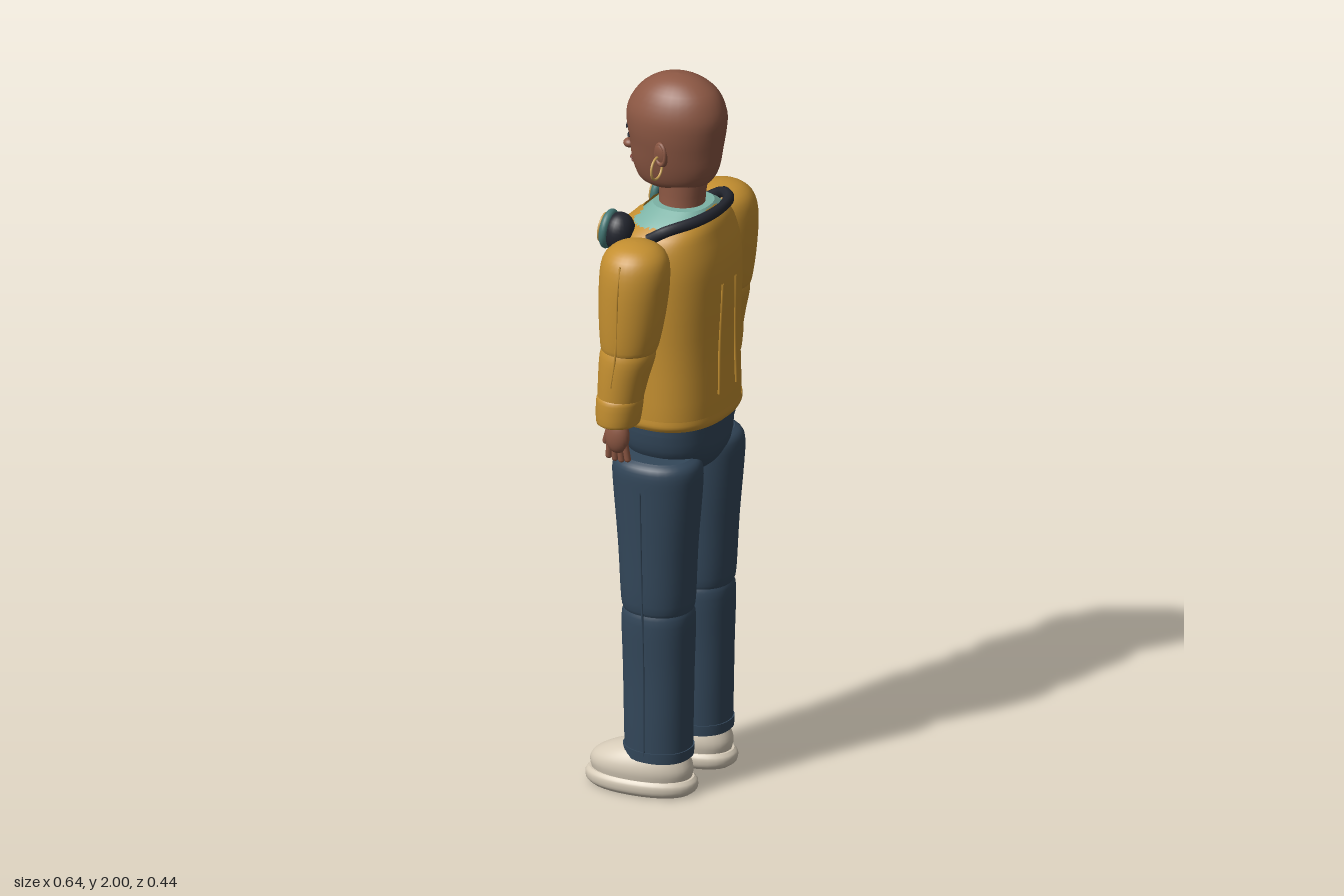
import * as THREE from 'three';

const mat = (name, color, side = THREE.FrontSide) => {
  const m = new THREE.MeshStandardMaterial({ color, side });
  m.name = name;
  return m;
};

// Cross-sections: rows of [y, rx, rz, cx, cz] listed from bottom to top
function sampler(rows) {
  const a = new THREE.CatmullRomCurve3(rows.map(r => new THREE.Vector3(r[1], r[0], r[2])), false, 'catmullrom');
  const b = new THREE.CatmullRomCurve3(rows.map(r => new THREE.Vector3(r[3] || 0, 0, r[4] || 0)), false, 'catmullrom');
  return t => {
    const p = a.getPoint(t), q = b.getPoint(t);
    return { y: p.y, rx: Math.max(p.x, 0.0005), rz: Math.max(p.z, 0.0005), cx: q.x, cz: q.z };
  };
}

// Skin over the cross-sections; gap leaves the front open
function loft(rows, { n = 2, sides = 32, gap = 0, side = 1 } = {}) {
  const at = sampler(rows), steps = (rows.length - 1) * 3;
  const pos = [], idx = [], cols = gap ? sides + 1 : sides;
  const pw = v => Math.sign(v) * Math.abs(v) ** (2 / n);
  const ring = s => {
    for (let j = 0; j < cols; j++) {
      const f = gap + (j / sides) * (Math.PI * 2 - 2 * gap);
      pos.push(s.cx * side + s.rx * pw(Math.sin(f)), s.y, s.cz + s.rz * pw(Math.cos(f)));
    }
  };
  for (let i = 0; i <= steps; i++) ring(at(i / steps));
  for (let i = 0; i < steps; i++) for (let j = 0; j < sides; j++) {
    const k = (j + 1) % cols, a = i * cols + j, b = i * cols + k;
    idx.push(a, b, b + cols, a, b + cols, a + cols);
  }
  if (!gap) for (const t of [0, 1]) {
    const s = at(t), base = pos.length / 3;
    ring(s);
    pos.push(s.cx * side, s.y, s.cz);
    for (let j = 0; j < sides; j++) {
      const a = base + j, b = base + (j + 1) % sides;
      t ? idx.push(a, b, base + sides) : idx.push(b, a, base + sides);
    }
  }
  const g = new THREE.BufferGeometry();
  g.setAttribute('position', new THREE.Float32BufferAttribute(pos, 3));
  g.setIndex(idx);
  g.computeVertexNormals();
  return g;
}

const TORSO = [[1.05, 0.178, 0.14], [1.08, 0.184, 0.147], [1.25, 0.18, 0.145], [1.4, 0.185, 0.15], [1.5, 0.185, 0.147],
  [1.57, 0.172, 0.13], [1.605, 0.135, 0.108, 0, -0.01], [1.635, 0.085, 0.08, 0, -0.015]];
const torsoAt = sampler(TORSO);

// Depth of the jacket surface at a given x and y
function torsoZ(x, y) {
  let lo = 0, hi = 1;
  for (let i = 0; i < 24; i++) {
    const m = (lo + hi) / 2;
    if (torsoAt(m).y < y) lo = m; else hi = m;
  }
  const s = torsoAt(lo), u = Math.min(Math.abs(x) / s.rx, 0.995);
  return [s.cz, s.rz * (1 - u ** 2.4) ** (1 / 2.4)];
}

// Thin plate that follows the chest, between x limits given per height
function plate(y0, y1, left, right, off) {
  const g = new THREE.PlaneGeometry(1, 1, 10, 12), p = g.attributes.position;
  for (let i = 0; i < p.count; i++) {
    const v = p.getY(i) + 0.5, u = p.getX(i) + 0.5, y = y0 + v * (y1 - y0);
    const x = THREE.MathUtils.lerp(left(v), right(v), u), [cz, z] = torsoZ(x, y);
    p.setXYZ(i, x, y, cz + z + off);
  }
  g.computeVertexNormals();
  return g;
}

const tube = (pts, r, seg = 24) => new THREE.TubeGeometry(
  new THREE.CatmullRomCurve3(pts.map(p => new THREE.Vector3(...p))), seg, r, 8);

export function createModel() {
  const skin = mat('skin', 0x8d5844), mustard = mat('jacketMustard', 0xc48f30, THREE.DoubleSide);
  const denim = mat('denim', 0x33475a), dark = mat('darkNavy', 0x23262f, THREE.DoubleSide);
  const shirtTeal = mat('shirtTeal', 0x7db3a6), cupTeal = mat('cupTeal', 0x457876);
  const cream = mat('shoeCream', 0xd6cbb8), gold = mat('gold', 0xcba256);
  const lipMat = mat('lips', 0x7a4038), seamMat = mat('seam', 0x8f6722);

  const body = new THREE.Group();
  body.name = 'figure';
  const add = (name, geo, m, pos = [0, 0, 0], scale = [1, 1, 1], rot = [0, 0, 0], parent = body) => {
    const o = new THREE.Mesh(geo, m);
    o.name = name;
    o.position.set(...pos);
    o.scale.set(...scale);
    o.rotation.set(...rot);
    parent.add(o);
    return o;
  };
  const ball = new THREE.SphereGeometry(1, 24, 16);

  // Head and neck
  add('head', loft([[1.68, 0.035, 0.05, 0, 0.025], [1.69, 0.056, 0.085, 0, 0.02], [1.71, 0.071, 0.108, 0, 0.012], [1.75, 0.085, 0.124, 0, 0.008],
    [1.8, 0.097, 0.13, 0, 0.006], [1.85, 0.106, 0.138, 0, 0.006], [1.9, 0.106, 0.138, 0, 0.004], [1.95, 0.088, 0.113, 0, 0],
    [1.98, 0.06, 0.076], [1.995, 0.03, 0.038], [2, 0.001, 0.001]]), skin);
  add('neck', loft([[1.58, 0.07, 0.07, 0, -0.01], [1.64, 0.059, 0.062, 0, -0.01], [1.73, 0.06, 0.07, 0, -0.015]]), skin);
  add('noseBridge', ball, skin, [0, 1.795, 0.138], [0.01, 0.032, 0.012], [-0.25, 0, 0]);
  add('noseTip', ball, skin, [0, 1.772, 0.146], [0.018, 0.013, 0.018]);
  add('upperLip', ball, lipMat, [0, 1.741, 0.128], [0.026, 0.006, 0.011]);
  add('lowerLip', ball, lipMat, [0, 1.731, 0.126], [0.022, 0.007, 0.011]);
  for (const s of [1, -1]) {
    add('eye', ball, dark, [s * 0.04, 1.815, 0.126], [0.017, 0.004, 0.005], [0, s * 0.35, -s * 0.12]);
    add('eyebrow', ball, dark, [s * 0.042, 1.843, 0.13], [0.02, 0.003, 0.004], [0, s * 0.35, -s * 0.12]);
    add('ear', ball, skin, [s * 0.107, 1.805, -0.005], [0.011, 0.035, 0.022], [0, -s * 0.35, -s * 0.2]);
    add('earRim', new THREE.TorusGeometry(0.022, 0.005, 8, 20), skin, [s * 0.114, 1.81, -0.007], [0.85, 1.3, 1], [0, s * 1.2, 0]);
    add('hoopEarring', new THREE.TorusGeometry(0.03, 0.0035, 8, 28), gold, [s * 0.122, 1.772, 0]);
  }

  // Shirt under an open jacket
  add('shirt', loft(TORSO.map(([y, a, b, c = 0, d = 0]) => [y + 0.005, a * 0.95, b * 0.95, c, d]), { n: 2.4, sides: 48 }), shirtTeal);
  add('jacketBody', loft(TORSO, { n: 2.4, sides: 56, gap: 0.25 }), mustard);
  add('jacketHem', loft([[1.047, 0.18, 0.143], [1.06, 0.187, 0.149], [1.078, 0.186, 0.149]], { n: 2.4, sides: 56, gap: 0.25 }), mustard);
  for (const s of [1, -1]) {
    const at = (a, b) => v => s * THREE.MathUtils.lerp(a, b, v);
    add('lapel', plate(1.46, 1.625, at(0.062, 0.022), at(0.066, 0.075), 0.009), mustard);
    add('collarWing', plate(1.53, 1.62, at(0.1, 0.03), at(0.105, 0.09), 0.012), mustard);
    add('openingEdge', plate(1.06, 1.5, at(0.052, 0.052), at(0.059, 0.059), 0.004), seamMat);
    add('pocket', plate(1.085, 1.235, at(0.068, 0.068), at(0.162, 0.162), 0.006), mustard);
    add('pocketFlap', plate(1.228, 1.25, at(0.066, 0.066), at(0.164, 0.164), 0.009), mustard);
    add('pocketSeam', plate(1.224, 1.228, at(0.066, 0.066), at(0.164, 0.164), 0.008), seamMat);
    const back = [1.13, 1.28, 1.44].map((y, i) => {
      const x = s * (0.047 - i * 0.006), [cz, z] = torsoZ(x, y);
      return [x, y, cz - z - 0.001];
    });
    add('backSeam', tube(back, 0.004), mustard);
  }
  add('frontCord', plate(1.11, 1.5, () => 0.138, () => 0.147, 0.008), dark);

  // Headphones resting round the neck
  add('headphoneBand', tube([[-0.168, 1.585, 0.0], [-0.155, 1.612, -0.045], [-0.09, 1.628, -0.1], [0, 1.632, -0.118],
    [0.09, 1.628, -0.1], [0.155, 1.612, -0.045], [0.168, 1.585, 0.0]], 0.015, 48), dark);
  for (const s of [1, -1]) {
    const cup = new THREE.Group();
    cup.name = 'headphoneCup';
    cup.position.set(s * 0.143, 1.58, 0.1);
    cup.rotation.set(-0.1, s * 0.05, 0);
    body.add(cup);
    const face = [Math.PI / 2, 0, 0];
    add('cushion', ball, dark, [0, 0, 0], [0.045, 0.054, 0.042], [0, 0, 0], cup);
    add('cupRing', new THREE.TorusGeometry(0.036, 0.012, 12, 32), cupTeal, [0, 0, 0.03], [1, 1.15, 1], [0, 0, 0], cup);
    add('cupPlate', new THREE.CylinderGeometry(0.036, 0.036, 0.02, 32), cupTeal, [0, 0, 0.033], [1, 1, 1.15], face, cup);
    add('cupTrim', new THREE.TorusGeometry(0.033, 0.0035, 8, 32), gold, [0, 0, 0.046], [1, 1.15, 1], [0, 0, 0], cup);
  }

  // Arms and hands
  for (const s of [1, -1]) {
    const o = { side: s };
    add('upperSleeve', loft([[1.305, 0.07, 0.07, 0.257, 0.01], [1.32, 0.077, 0.077, 0.256, 0.008], [1.4, 0.088, 0.088, 0.25, 0.004],
      [1.5, 0.094, 0.094, 0.243], [1.56, 0.087, 0.087, 0.238], [1.59, 0.062, 0.062, 0.236], [1.602, 0.03, 0.03, 0.235], [1.605, 0.001, 0.001, 0.235]], o), mustard);
    add('lowerSleeve', loft([[1.17, 0.062, 0.06, 0.273, 0.026], [1.23, 0.069, 0.067, 0.267, 0.02], [1.29, 0.075, 0.074, 0.259, 0.012], [1.32, 0.068, 0.068, 0.257, 0.01]], o), mustard);
    add('cuff', loft([[1.1, 0.057, 0.052, 0.277, 0.03], [1.11, 0.063, 0.058, 0.277, 0.03], [1.165, 0.066, 0.062, 0.274, 0.027], [1.18, 0.06, 0.058, 0.273, 0.026]], o), mustard);
    add('sleeveSeam', tube([[s * 0.335, 1.22, 0.022], [s * 0.333, 1.32, 0.008], [s * 0.337, 1.5, 0], [s * 0.323, 1.565, 0]], 0.003), mustard);
    add('palm', ball, skin, [s * 0.274, 1.06, 0.035], [0.024, 0.05, 0.035]);
    for (let i = 0; i < 4; i++) {
      add('finger', new THREE.CapsuleGeometry(0.009, 0.045, 4, 10), skin,
        [s * 0.27, 1.012 + Math.abs(i - 1.4) * 0.004, 0.01 + i * 0.017], [1, 1, 1], [(1.5 - i) * 0.08, 0, -s * 0.1]);
    }
    add('thumb', new THREE.CapsuleGeometry(0.01, 0.04, 4, 10), skin, [s * 0.262, 1.05, 0.07], [1, 1, 1], [-0.35, 0, -s * 0.2]);
  }

  // Trousers and belt
  add('hips', loft([[0.885, 0.04, 0.06], [0.91, 0.095, 0.1], [0.96, 0.148, 0.128], [1.02, 0.162, 0.132], [1.07, 0.164, 0.132]], { n: 2.3 }), denim);
  add('belt', loft([[1.025, 0.166, 0.136], [1.055, 0.167, 0.137]], { n: 2.3 }), denim);
  add('buckle', new THREE.BoxGeometry(0.042, 0.034, 0.012), gold, [0, 1.04, 0.138]);
  for (const s of [1, -1]) {
    const o = { side: s, n: 2.2 };
    add('thigh', loft([[0.515, 0.083, 0.09, 0.11], [0.55, 0.092, 0.098, 0.111], [0.7, 0.095, 0.106, 0.113], [0.86, 0.1, 0.12, 0.114],
      [0.92, 0.101, 0.122, 0.115], [0.945, 0.094, 0.113, 0.115], [0.957, 0.078, 0.095, 0.115]], o), denim);
    add('shin', loft([[0.1, 0.081, 0.09, 0.11], [0.2, 0.083, 0.092, 0.11], [0.35, 0.084, 0.095, 0.11], [0.49, 0.09, 0.098, 0.11], [0.525, 0.084, 0.09, 0.11]], o), denim);
    add('trouserHem', loft([[0.103, 0.084, 0.093, 0.11], [0.13, 0.085, 0.094, 0.11]], o), denim);
    add('sideSeam', tube([[s * 0.193, 0.12, 0], [s * 0.195, 0.35, 0], [s * 0.201, 0.52, 0], [s * 0.209, 0.7, 0], [s * 0.215, 0.88, 0]], 0.003), denim);

    // Shoe with a wide rounded sole
    const shoe = new THREE.Group();
    shoe.name = 'shoe';
    shoe.position.set(s * 0.117, 0, 0.047);
    shoe.rotation.y = s * 0.08;
    body.add(shoe);
    const put = (name, rows, n) => add(name, loft(rows, { n }), cream, [0, 0, 0], [1, 1, 1], [0, 0, 0], shoe);
    put('sole', [[0, 0.074, 0.14], [0.012, 0.084, 0.154], [0.032, 0.086, 0.156], [0.044, 0.078, 0.146]], 2.2);
    put('upper', [[0.038, 0.076, 0.138], [0.065, 0.081, 0.144], [0.09, 0.077, 0.134, 0, -0.004],
      [0.115, 0.063, 0.105, 0, -0.02], [0.13, 0.042, 0.07, 0, -0.035]], 2.1);
  }

  // Turn the figure and centre it
  const model = new THREE.Group();
  model.name = 'standingFigure';
  body.rotation.y = Math.PI + 0.43;
  model.add(body);
  model.updateMatrixWorld(true);
  const c = new THREE.Box3().setFromObject(model, true).getCenter(new THREE.Vector3());
  body.position.set(-c.x, 0, -c.z);
  return model;
}
